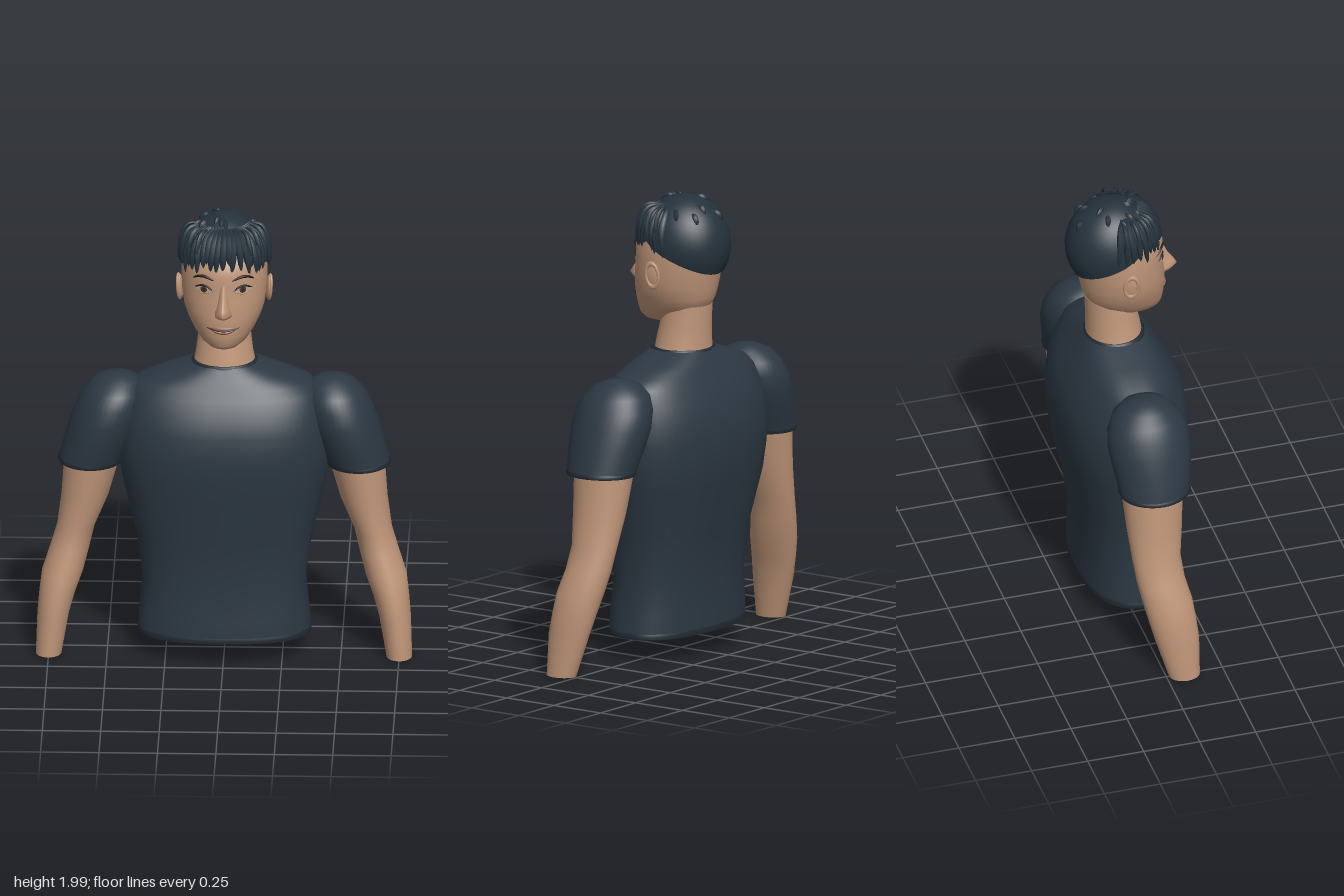
import * as THREE from 'three';

const mat = (name, color, side = THREE.FrontSide) => {
  const m = new THREE.MeshStandardMaterial({ color, side });
  m.name = name;
  return m;
};

// Stack of horizontal superellipse rings [y, cx, cz, rx, rz], listed upwards, with optional flat caps
function loft(rings, { n = 2, seg = 40, bottom = false, top = false } = {}) {
  const pos = [], idx = [];
  const pw = v => Math.sign(v) * Math.pow(Math.abs(v), 2 / n);
  const addRing = ([y, cx, cz, rx, rz]) => {
    for (let i = 0; i < seg; i++) {
      const a = i / seg * Math.PI * 2;
      pos.push(cx + rx * pw(Math.sin(a)), y, cz + rz * pw(Math.cos(a)));
    }
  };
  rings.forEach(addRing);
  for (let j = 0; j < rings.length - 1; j++) for (let i = 0; i < seg; i++) {
    const k = (i + 1) % seg, a = j * seg, b = a + seg;
    idx.push(a + i, a + k, b + k, a + i, b + k, b + i);
  }
  const cap = (ring, up) => {
    const s = pos.length / 3;
    addRing(ring);
    pos.push(ring[1], ring[0], ring[2]);
    for (let i = 0; i < seg; i++) {
      const k = (i + 1) % seg;
      idx.push(s + seg, s + (up ? i : k), s + (up ? k : i));
    }
  };
  if (bottom) cap(rings[0], false);
  if (top) cap(rings[rings.length - 1], true);
  const g = new THREE.BufferGeometry();
  g.setAttribute('position', new THREE.Float32BufferAttribute(pos, 3));
  g.setIndex(idx);
  g.computeVertexNormals();
  return g;
}

// Tube through points, thick in the middle and pointed at the ends
function taper(points, r, startWidth = 0) {
  const curve = new THREE.CatmullRomCurve3(points), T = 12, R = 6;
  const g = new THREE.TubeGeometry(curve, T, r, R, false);
  const p = g.attributes.position, v = new THREE.Vector3();
  for (let j = 0; j <= T; j++) {
    const t = j / T, c = curve.getPointAt(t);
    const w = Math.max(0.02, Math.sqrt(Math.sin(Math.PI * t)), startWidth * (1 - t));
    for (let i = 0; i <= R; i++) {
      const k = j * (R + 1) + i;
      v.fromBufferAttribute(p, k).sub(c).multiplyScalar(w).add(c);
      p.setXYZ(k, v.x, v.y, v.z);
    }
  }
  g.computeVertexNormals();
  return g;
}

const HEAD = [
  [1.43, 0, 0.08, 0.045, 0.07], [1.438, 0, 0.075, 0.07, 0.105], [1.46, 0, 0.06, 0.1, 0.138],
  [1.5, 0, 0.037, 0.13, 0.168], [1.55, 0, 0.028, 0.155, 0.18], [1.6, 0, 0.023, 0.172, 0.185],
  [1.66, 0, 0.015, 0.181, 0.187], [1.72, 0, 0.008, 0.184, 0.19], [1.77, 0, 0.005, 0.183, 0.195],
  [1.82, 0, -0.002, 0.177, 0.188], [1.88, 0, -0.015, 0.158, 0.165], [1.93, 0, -0.02, 0.12, 0.125],
  [1.965, 0, -0.02, 0.06, 0.06], [1.975, 0, -0.02, 0.002, 0.002],
];

// Front surface of the head at (x, y)
function faceZ(x, y) {
  const j = Math.max(0, HEAD.findIndex(r => r[0] > y) - 1);
  const t = (y - HEAD[j][0]) / (HEAD[j + 1][0] - HEAD[j][0]);
  const mix = k => THREE.MathUtils.lerp(HEAD[j][k], HEAD[j + 1][k], t);
  return mix(2) + mix(4) * Math.sqrt(Math.max(0, 1 - (x / mix(3)) ** 2));
}
const onFace = (x, y, lift = 0.002) => new THREE.Vector3(x, y, faceZ(x, y) + lift);

// Thin oval lying on the face
function facePatch(x, y, rx, ry, lift) {
  const g = new THREE.RingGeometry(0, 1, 24, 4), p = g.attributes.position;
  for (let i = 0; i < p.count; i++) {
    const q = onFace(x + p.getX(i) * rx, y + p.getY(i) * ry, lift);
    p.setXYZ(i, q.x, q.y, q.z);
  }
  g.computeVertexNormals();
  return g;
}

// Point on the hair dome; a = 0 is the front, e = height angle
function dome(a, e, out = 0) {
  const c = Math.cos(e);
  return new THREE.Vector3((0.187 + out) * c * Math.sin(a), 1.775 + (0.215 + out) * Math.sin(e),
    -0.02 + (0.203 + out) * c * Math.cos(a));
}

// Hair cap with a hairline high in front and low at the nape
function hairCap() {
  const U = 48, V = 14, pos = [], idx = [];
  for (let j = 0; j <= V; j++) for (let i = 0; i < U; i++) {
    const a = i / U * Math.PI * 2, f = Math.cos(a);
    const edge = f > 0 ? 1.755 + 0.115 * f : 1.755 + 0.095 * f;
    const e0 = Math.asin((edge - 1.775) / 0.215);
    const p = dome(a, THREE.MathUtils.lerp(e0, Math.PI / 2, j / V));
    pos.push(p.x, p.y, p.z);
  }
  for (let j = 0; j < V; j++) for (let i = 0; i < U; i++) {
    const k = (i + 1) % U, a = j * U, b = a + U;
    idx.push(a + i, a + k, b + k, a + i, b + k, b + i);
  }
  const g = new THREE.BufferGeometry();
  g.setAttribute('position', new THREE.Float32BufferAttribute(pos, 3));
  g.setIndex(idx);
  g.computeVertexNormals();
  return g;
}

export function createModel() {
  const group = new THREE.Group();
  const skin = mat('skin', 0xc09679), shirt = mat('shirt', 0x2c3843), trim = mat('shirt trim', 0x202a32);
  const hair = mat('hair', 0x25323c, THREE.DoubleSide), dark = mat('dark brown', 0x2a211e);
  const lip = mat('lip', 0x9a6c5a), eyeWhite = mat('eye white', 0xb5a296), iris = mat('iris', 0x4a352b);
  const add = (name, geo, m) => {
    const mesh = new THREE.Mesh(geo, m);
    mesh.name = name;
    group.add(mesh);
    return mesh;
  };

  // Torso
  const torso = [
    [0.1, 0, 0.02, 0.37, 0.206], [0.2, 0, 0.02, 0.364, 0.206], [0.35, 0, 0.013, 0.35, 0.197],
    [0.55, 0, 0.008, 0.378, 0.222], [0.76, 0, 0, 0.43, 0.26], [0.86, 0, 0, 0.447, 0.27],
    [0.96, 0, 0, 0.455, 0.277], [1.05, 0, 0, 0.447, 0.265], [1.13, 0, 0, 0.432, 0.243],
    [1.2, 0, -0.003, 0.41, 0.203], [1.24, 0, -0.005, 0.37, 0.178], [1.28, 0, -0.007, 0.26, 0.156],
    [1.322, 0, -0.01, 0.14, 0.126],
  ];
  add('shirtBody', loft(torso, { n: 2.4, seg: 64 }), shirt);
  add('shirtHem', loft([[0.1, 0, 0.02, 0.371, 0.207], [0.113, 0, 0.02, 0.373, 0.209], [0.125, 0, 0.02, 0.369, 0.206]],
    { n: 2.4, seg: 64 }), trim);
  add('waist', loft([[0.101, 0, 0.02, 0.367, 0.203], [0.15, 0, 0.02, 0.35, 0.19]], { n: 2.4, seg: 64, bottom: true }), skin);
  add('collar', loft([[1.305, 0, -0.01, 0.15, 0.13], [1.32, 0, -0.01, 0.144, 0.13], [1.328, 0, -0.01, 0.134, 0.122]],
    { top: true }), trim);

  // Sleeves and arms
  for (const s of [1, -1]) {
    const side = s > 0 ? 'left' : 'right';
    const mirror = rings => rings.map(([y, cx, ...r]) => [y, cx * s, ...r]);
    add(side + 'Sleeve', loft(mirror([
      [0.865, 0.573, 0, 0.137, 0.154], [0.9, 0.563, 0, 0.139, 0.158], [0.98, 0.532, -0.001, 0.15, 0.172],
      [1.06, 0.505, -0.004, 0.153, 0.18], [1.13, 0.485, -0.006, 0.146, 0.174], [1.19, 0.468, -0.007, 0.13, 0.147],
      [1.23, 0.46, -0.008, 0.098, 0.105], [1.252, 0.458, -0.008, 0.05, 0.052], [1.258, 0.458, -0.008, 0.002, 0.002],
    ]), { bottom: true }), shirt);
    add(side + 'Cuff', loft(mirror([[0.862, 0.573, 0, 0.137, 0.154], [0.87, 0.573, 0, 0.14, 0.157], [0.88, 0.569, 0, 0.138, 0.155]]),
      { bottom: true }), trim);
    add(side + 'Arm', loft(mirror([
      [0, 0.75, 0.08, 0.055, 0.068], [0.18, 0.731, 0.054, 0.068, 0.096], [0.27, 0.714, 0.038, 0.077, 0.103],
      [0.36, 0.692, 0.022, 0.088, 0.108], [0.46, 0.662, 0, 0.084, 0.105], [0.56, 0.635, -0.011, 0.081, 0.106],
      [0.7, 0.597, -0.009, 0.101, 0.121], [0.88, 0.565, -0.01, 0.12, 0.134],
    ]), { bottom: true }), skin);
  }

  // Neck and head
  add('neck', loft([[1.3, 0, -0.012, 0.136, 0.122], [1.36, 0, -0.016, 0.123, 0.117], [1.43, 0, -0.025, 0.114, 0.11],
    [1.515, 0, -0.035, 0.108, 0.104]], { top: true }), skin);
  add('head', loft(HEAD, { seg: 48, bottom: true }), skin);
  add('nose', loft([
    [1.59, 0, 0.2, 0.018, 0.02], [1.598, 0, 0.2, 0.036, 0.05], [1.615, 0, 0.2, 0.036, 0.07],
    [1.635, 0, 0.197, 0.028, 0.06], [1.68, 0, 0.19, 0.02, 0.036], [1.735, 0, 0.18, 0.016, 0.022],
  ], { n: 1.6, seg: 24, bottom: true }), skin);

  // Mouth
  const mouthLine = (w, y, curve) => [-1, -0.5, 0, 0.5, 1].map(t => onFace(t * w, y + curve * t * t));
  add('upperLip', taper(mouthLine(0.062, 1.542, 0.002), 0.008), lip);
  add('lowerLip', taper(mouthLine(0.055, 1.524, 0.014), 0.008), lip);
  add('mouthLine', taper(mouthLine(0.075, 1.534, 0.012).map(p => p.setZ(p.z + 0.006)), 0.004), dark);

  // Eyes, brows and ears
  for (const s of [1, -1]) {
    const side = s > 0 ? 'left' : 'right';
    add(side + 'Eye', facePatch(s * 0.084, 1.713, 0.036, 0.015, 0.003), eyeWhite);
    add(side + 'Iris', facePatch(s * 0.084, 1.714, 0.014, 0.014, 0.005), iris);
    add(side + 'Pupil', facePatch(s * 0.084, 1.714, 0.007, 0.007, 0.007), dark);
    const arc = (list, lift) => list.map(([x, y]) => onFace(s * x, y, lift));
    add(side + 'UpperLid', taper(arc([[0.045, 1.709], [0.065, 1.726], [0.088, 1.731], [0.124, 1.716]], 0.002), 0.005), dark);
    add(side + 'LowerLid', taper(arc([[0.048, 1.707], [0.084, 1.696], [0.12, 1.712]], 0.001), 0.004), skin);
    add(side + 'Eyebrow', taper(arc([[0.038, 1.757], [0.075, 1.772], [0.105, 1.77], [0.132, 1.752]], 0.001), 0.007), dark);
    const ear = new THREE.Group();
    ear.name = side + 'Ear';
    const shell = new THREE.Mesh(new THREE.SphereGeometry(1, 20, 14), skin);
    shell.name = 'earShell';
    shell.scale.set(0.011, 0.055, 0.032);
    const rim = new THREE.Mesh(new THREE.TorusGeometry(0.029, 0.007, 8, 28), skin);
    rim.name = 'earRim';
    rim.rotation.y = Math.PI / 2;
    rim.scale.set(1, 1.75, 1);
    rim.position.x = s * 0.006;
    ear.add(shell, rim);
    ear.position.set(s * 0.188, 1.662, 0.012);
    ear.rotation.set(0.08, s * 0.2, s * -0.08);
    group.add(ear);
  }

  // Hair cap and hanging locks
  add('hairCap', hairCap(), hair);
  let seed = 7;
  const rnd = () => (seed = (seed * 16807) % 2147483647) / 2147483647;
  const locks = 25;
  for (let i = 0; i < locks; i++) {
    const t = i / (locks - 1) * 2 - 1, a = t * 1.6, sideways = Math.abs(t);
    const drift = (rnd() - 0.5) * 0.18, tipY = 1.81 - 0.06 * sideways + (rnd() - 0.5) * 0.07;
    const tip = dome(a + drift, 0, 0.006);
    tip.y = tipY;
    add('hairLock', taper([dome(a * 0.9, 1.0, -0.004), dome(a, 0.72, 0.008), dome(a + drift * 0.5, 0.38, 0.01), tip],
      0.014 + rnd() * 0.004, 0.5), hair);
  }
  // Loose locks standing off the sides of the crown
  for (const s of [1, -1]) for (let i = 0; i < 4; i++) {
    const a = s * (0.65 + i * 0.28);
    add('looseLock', taper([dome(a, 0.95), dome(a, 0.75, 0.028), dome(a, 0.45, 0.022), dome(a + s * 0.05, 0.1 + rnd() * 0.15, 0.008)], 0.011), hair);
  }
  // Short flat tufts on the crown and back
  for (let i = 0; i < 14; i++) {
    const a = i * 2.4, e = 0.65 + rnd() * 0.6;
    add('tuft', taper([dome(a, e + 0.12, -0.004), dome(a + 0.06, e, 0.003), dome(a + 0.1, e - 0.16, -0.004)], 0.012), hair);
  }
  return group;
}
